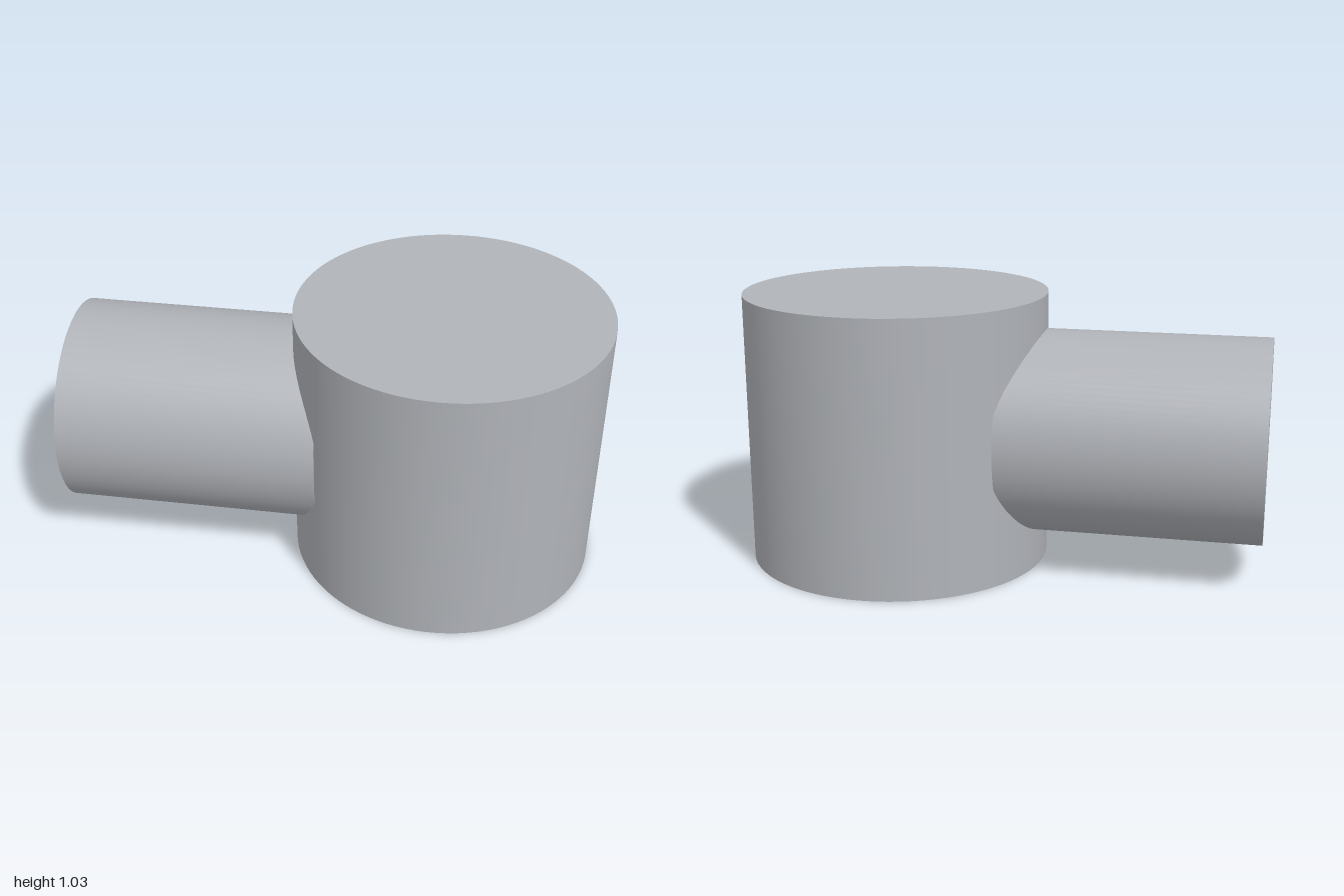
import * as THREE from 'three';

export function createModel() {
  const model = new THREE.Group();
  model.name = 'pipeJunction';
  const steel = new THREE.MeshStandardMaterial({ color: 0xb0b3b8 });
  steel.name = 'steel grey';

  const height = 1.034, bodyRadius = 0.58, pipeRadius = 0.385;
  const pipeStart = -1, pipeEnd = -0.035;

  // Upright drum
  const body = new THREE.Mesh(
    new THREE.CylinderGeometry(bodyRadius, bodyRadius, height, 96), steel);
  body.name = 'body';
  body.position.set(1 - bodyRadius, height / 2, 0);

  // Side pipe, ending in a flat face just inside the drum's wall
  const pipe = new THREE.Mesh(
    new THREE.CylinderGeometry(pipeRadius, pipeRadius, pipeEnd - pipeStart, 96), steel);
  pipe.name = 'sidePipe';
  pipe.rotation.z = Math.PI / 2;
  pipe.position.set((pipeStart + pipeEnd) / 2, height / 2, 0);

  model.add(body, pipe);
  return model;
}
